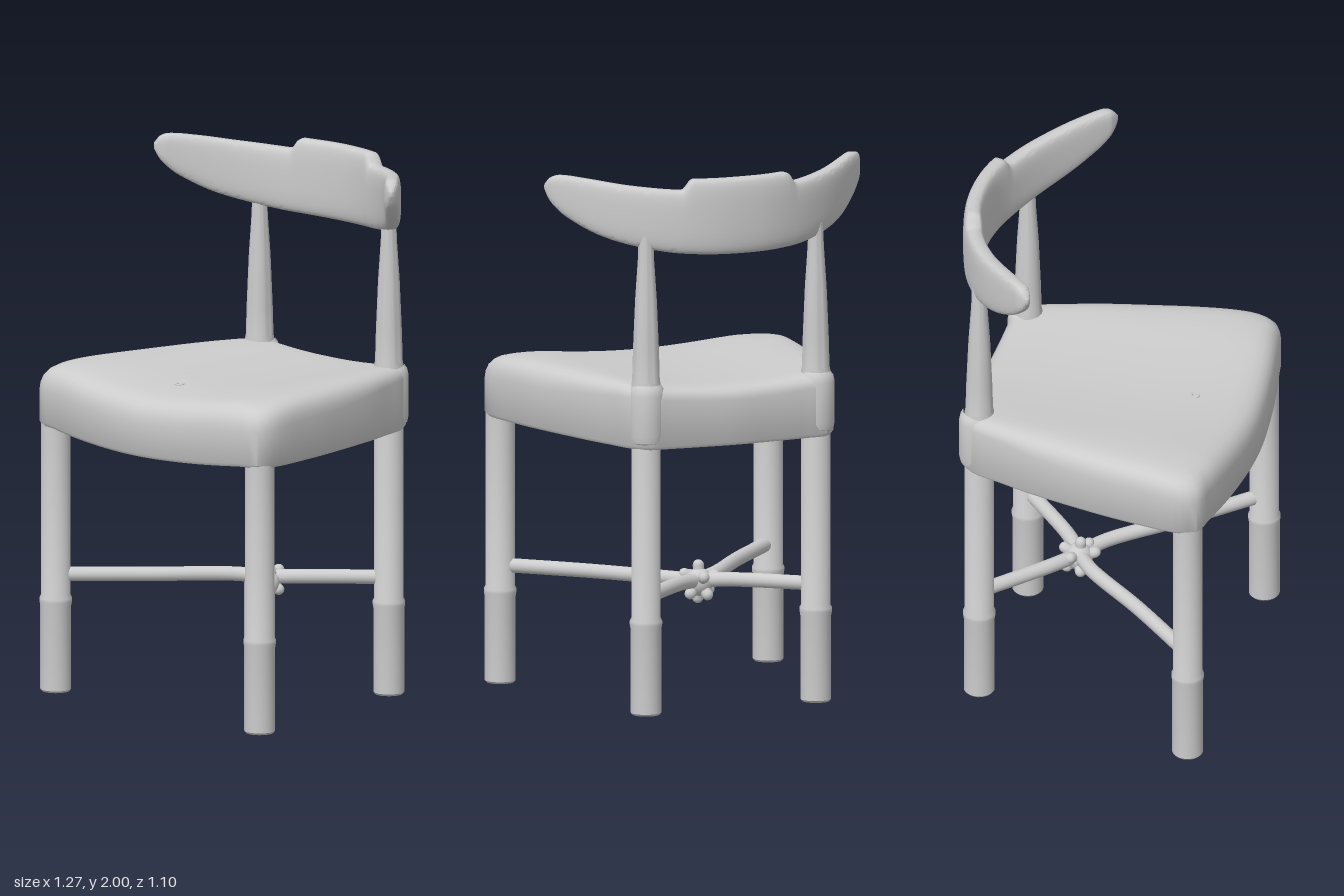
import * as THREE from 'three';
import { toCreasedNormals } from 'three/addons/utils/BufferGeometryUtils.js';

const grey = new THREE.MeshStandardMaterial({ color: 0xcccccc });
grey.name = 'plain grey';

function add(parent, name, geometry) {
  const mesh = new THREE.Mesh(geometry, grey);
  mesh.name = name;
  parent.add(mesh);
  return mesh;
}

// Skin a list of closed rings (each an array of [x, y, z])
function loft(rings, crease) {
  const n = rings[0].length, index = [];
  for (let i = 0; i < rings.length - 1; i++) {
    for (let j = 0; j < n; j++) {
      const a = i * n + j, b = i * n + (j + 1) % n;
      index.push(a, b, a + n, b, b + n, a + n);
    }
  }
  const g = new THREE.BufferGeometry();
  g.setAttribute('position', new THREE.Float32BufferAttribute(rings.flat(2), 3));
  g.setIndex(index);
  return toCreasedNormals(g, crease);
}

function lathe(points) {
  const g = new THREE.LatheGeometry(points.map(p => new THREE.Vector2(...p)), 32);
  return toCreasedNormals(g, 0.7);
}

// Smooth lookup in a short [x, value] table, level at x = 0
function lookup(table, x) {
  let k = 0;
  while (k < table.length - 2 && x > table[k + 1][0]) k++;
  const at = i => table[Math.min(Math.max(i, 0), table.length - 1)];
  const slope = i => (at(i + 1)[1] - at(i - 1)[1]) / (at(i + 1)[0] - at(i - 1)[0]);
  const [x0, y0] = at(k), [x1, y1] = at(k + 1), h = x1 - x0, t = (x - x0) / h;
  const m0 = k === 0 ? 0 : slope(k), m1 = slope(k + 1);
  const t2 = t * t, t3 = t2 * t;
  return (2 * t3 - 3 * t2 + 1) * y0 + (t3 - 2 * t2 + t) * h * m0
    + (3 * t2 - 2 * t3) * y1 + (t3 - t2) * h * m1;
}

// Dished seat surface, falling away at the front
function seatTop(x, z) {
  const dish = 0.026 * Math.max(0, 1 - (x / 0.42) ** 2) ** 1.3;
  const drop = 0.022 * Math.max(0, (z - 0.2) / 0.3) ** 2;
  return 1.24 - dish - drop;
}

function seatGeometry() {
  const half = [[0, 0.55], [0.3, 0.527], [0.5, 0.495], [0.575, 0.477], [0.603, 0.42], [0.58, 0.2],
    [0.54, 0], [0.49, -0.2], [0.45, -0.32], [0.412, -0.43], [0.36, -0.487], [0.3, -0.487], [0.15, -0.49], [0, -0.495]];
  const left = half.slice(1, -1).reverse().map(([x, z]) => [-x, z]);
  const curve = new THREE.CatmullRomCurve3([...half, ...left].map(([x, z]) => new THREE.Vector3(x, 0, z)), true);
  const outline = curve.getSpacedPoints(120).slice(0, 120);
  const rim = (x, z) => 1 - 0.024 * Math.max(0, 1 - (x / 0.5) ** 2) * (z > 0 ? 1 : 0.3);
  const under = y => () => y;
  // edges are softer at the front and sides than at the back
  const top = d => (x, z) => seatTop(x, z) - d * (0.6 + 0.4 * THREE.MathUtils.smoothstep(z, -0.45, 0.1));
  const rows = [
    // sagging underside, then the apron rim
    [0, under(0.98)], [0.2, under(0.99)], [0.5, under(1.025)], [0.8, under(1.05)], [0.935, under(1.055)],
    [0.945, rim], [0.985, rim], [1, (x, z) => rim(x, z) + 0.012],
    // wall, rounded edge and top
    [1, top(0.085)], [0.995, top(0.06)], [0.98, top(0.037)], [0.955, top(0.02)], [0.92, top(0.009)],
    [0.87, top(0.003)], [0.8, top(0)], [0.65, top(0)], [0.5, top(0)], [0.35, top(0)], [0.2, top(0)], [0, top(0)],
  ];
  return loft(rows.map(([s, y]) => outline.map(p => [p.x * s, y(p.x * s, p.z * s), p.z * s])), 0.8);
}

// Curved top rail with a raised centre and horn-like tips
function backrestGeometry() {
  const end = 0.632;
  const top = [[0, 1.955], [0.22, 1.957], [0.4, 1.972], [0.52, 1.99], [0.59, 1.997], [0.615, 1.988], [end, 1.962]];
  const low = [[0, 1.714], [0.2, 1.72], [0.33, 1.738], [0.47, 1.78], [0.57, 1.845], [0.615, 1.9], [end, 1.94]];
  const mid = [[0, -0.513], [0.1, -0.506], [0.2, -0.481], [0.3, -0.437], [0.4, -0.374], [0.5, -0.29], [end, -0.158]];
  const rings = [];
  for (let i = 0; i <= 160; i++) {
    const x = end * Math.sin((0.5 - i / 160) * Math.PI), u = Math.abs(x);
    const bump = 0.043 * (1 - THREE.MathUtils.smoothstep(u, 0.185, 0.225));
    const yTop = lookup(top, u) + bump, yLow = lookup(low, u), z = lookup(mid, u);
    const v0 = Math.max(0, u - 0.004), v1 = Math.min(end, u + 0.004);
    const slope = (lookup(mid, v1) - lookup(mid, v0)) / (v1 - v0) * Math.sign(x);
    const len = Math.hypot(1, slope);
    const thick = (0.038 - 0.012 * (u / end) ** 3) * Math.min(1, Math.sqrt((end + 0.002 - u) / 0.03));
    const ring = [];
    for (let j = 0; j < 32; j++) {
      const a = j / 32 * Math.PI * 2, c = Math.cos(a), s = Math.sin(a);
      const w = Math.sign(c) * Math.abs(c) ** 0.45 * thick;
      const h = Math.sign(s) * Math.abs(s) ** 0.7;
      ring.push([x - slope / len * w, (yTop + yLow) / 2 + h * (yTop - yLow) / 2, z + w / len]);
    }
    rings.push(ring);
  }
  // close both tips
  const tip = r => {
    const c = [0, 1, 2].map(k => r.reduce((sum, p) => sum + p[k], 0) / r.length);
    return r.map(() => c);
  };
  return loft([tip(rings[0]), ...rings, tip(rings[rings.length - 1])], 0.9);
}

export function createModel() {
  const chair = new THREE.Group();
  chair.name = 'chair';

  add(chair, 'seat', seatGeometry());
  const dimple = add(chair, 'seatDimple', new THREE.TorusGeometry(0.014, 0.004, 8, 20));
  dimple.rotation.x = Math.PI / 2;
  dimple.position.set(-0.005, seatTop(0, 0.31), 0.31);
  add(chair, 'backrest', backrestGeometry());

  // Legs with thicker feet; the rear ones run on as tapering posts
  const foot = [[0, 0], [0.05, 0], [0.057, 0.008], [0.057, 0.32], [0.06, 0.338], [0.06, 0.35], [0.054, 0.362]];
  const frontLeg = lathe([...foot, [0.054, 1.1]]);
  const rearLeg = lathe([...foot, [0.054, 1.235], [0.051, 1.25], [0.048, 1.36], [0.04, 1.55], [0.03, 1.7], [0.027, 1.79]]);
  const sleeve = lathe([[0.05, 1.012], [0.061, 1.02], [0.066, 1.045], [0.066, 1.195], [0.061, 1.22], [0.05, 1.234]]);
  for (const side of [-1, 1]) {
    const word = side > 0 ? 'Left' : 'Right';
    add(chair, 'frontLeg' + word, frontLeg).position.set(side * 0.543, 0, 0.426);
    add(chair, 'rearLeg' + word, rearLeg).position.set(side * 0.344, 0, -0.421);
    add(chair, 'rearLegSleeve' + word, sleeve).position.set(side * 0.344, 0, -0.43);

    // Diagonal stretcher bending through the central knot
    const path = new THREE.CatmullRomCurve3([
      [side * 0.543, 0.438, 0.426], [side * 0.3, 0.438, 0.17], [side * 0.1, 0.436, -0.06],
      [0, 0.43, -0.132], [side * -0.1, 0.436, -0.2], [side * -0.344, 0.438, -0.421],
    ].map(p => new THREE.Vector3(...p)));
    add(chair, 'stretcher' + word, new THREE.TubeGeometry(path, 40, 0.027, 16));
  }

  // Knotted joint with blunt spurs
  const knot = new THREE.Group();
  knot.name = 'stretcherKnot';
  knot.position.set(-0.005, 0.423, -0.132);
  chair.add(knot);
  add(knot, 'knotCore', new THREE.SphereGeometry(0.052, 20, 14));
  const spur = new THREE.CapsuleGeometry(0.021, 0.04, 5, 12);
  const spurs = [[0, 1, 0.1], [0.8, 0.5, 0.4], [0.7, -0.6, -0.3], [0, -1, 0.2], [-0.8, -0.55, 0.3],
    [-0.9, 0.4, -0.3], [0.2, 0.3, 0.9], [0.1, 0.4, -0.9], [-0.2, -0.6, -0.6]];
  for (const d of spurs) {
    const dir = new THREE.Vector3(...d).normalize();
    const mesh = add(knot, 'knotSpur', spur);
    mesh.position.copy(dir).multiplyScalar(0.042);
    mesh.quaternion.setFromUnitVectors(new THREE.Vector3(0, 1, 0), dir);
  }
  return chair;
}
